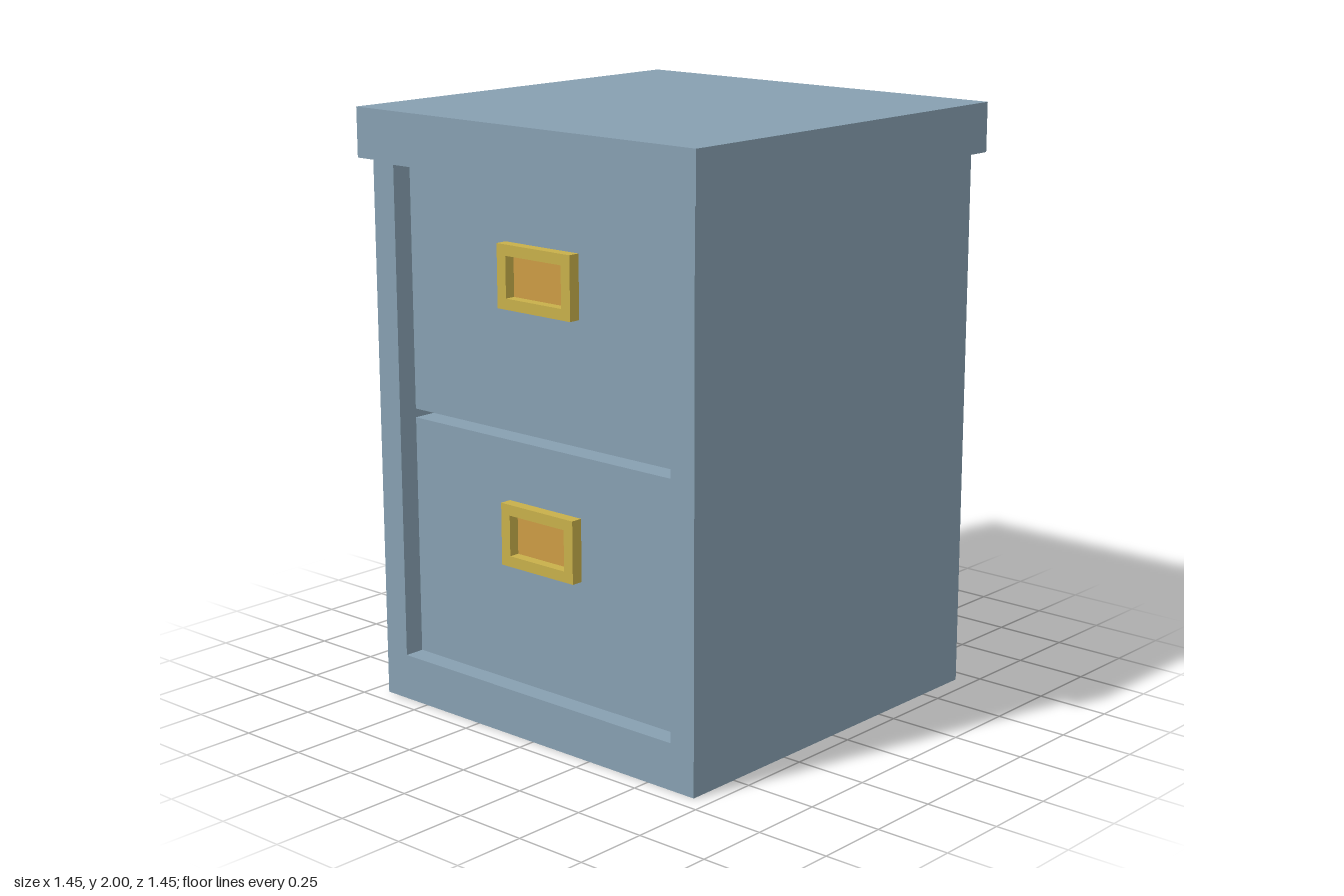
import * as THREE from 'three';

export function createModel() {
  const model = new THREE.Group();
  model.name = 'filingCabinet';

  const paint = new THREE.MeshStandardMaterial({ name: 'blueGreyPaint', color: 0x87a0b1 });
  const brass = new THREE.MeshStandardMaterial({ name: 'brass', color: 0xc8b04a });
  const amber = new THREE.MeshStandardMaterial({ name: 'amberInlay', color: 0xcc9c45 });

  // Box given by its limits on each axis
  function box(name, material, [x0, x1], [y0, y1], [z0, z1], parent = model) {
    const mesh = new THREE.Mesh(new THREE.BoxGeometry(x1 - x0, y1 - y0, z1 - z0), material);
    mesh.position.set((x0 + x1) / 2, (y0 + y1) / 2, (z0 + z1) / 2);
    mesh.name = name;
    parent.add(mesh);
  }

  // Rectangular frame with a rectangular opening, extruded from z0 to z1
  function frame(name, material, outer, inner, z0, z1, parent = model) {
    const corners = ([x, y0, y1]) => [[-x, y0], [x, y0], [x, y1], [-x, y1]].map(p => new THREE.Vector2(...p));
    const shape = new THREE.Shape(corners(outer));
    shape.holes.push(new THREE.Path(corners(inner).reverse()));
    const mesh = new THREE.Mesh(
      new THREE.ExtrudeGeometry(shape, { depth: z1 - z0, bevelEnabled: false }), material);
    mesh.position.z = z0;
    mesh.name = name;
    parent.add(mesh);
  }

  // Carcass, front frame and overhanging top
  const recess = 0.54, face = 0.62;
  box('carcass', paint, [-0.69, 0.69], [0, 1.84], [-0.69, recess]);
  frame('frontFrame', paint, [0.69, 0, 1.84], [0.595, 0.155, 1.82], recess, 0.69);
  box('top', paint, [-0.725, 0.725], [1.835, 2], [-0.725, 0.725]);

  // Two recessed drawers with a narrow gap between them
  for (const [name, y0, y1, handleY] of [
    ['lowerDrawer', 0.155, 0.97, 0.665],
    ['upperDrawer', 1.0, 1.82, 1.51],
  ]) {
    const drawer = new THREE.Group();
    drawer.name = name;
    model.add(drawer);
    box('drawerFront', paint, [-0.595, 0.595], [y0, y1], [recess, face], drawer);

    // Framed handle with an inlaid plate
    frame('handleFrame', brass, [0.158, handleY - 0.104, handleY + 0.104],
      [0.12, handleY - 0.068, handleY + 0.068], face, 0.66, drawer);
    box('handleInlay', amber, [-0.12, 0.12], [handleY - 0.068, handleY + 0.068],
      [face - 0.002, face + 0.004], drawer);
  }
  return model;
}
